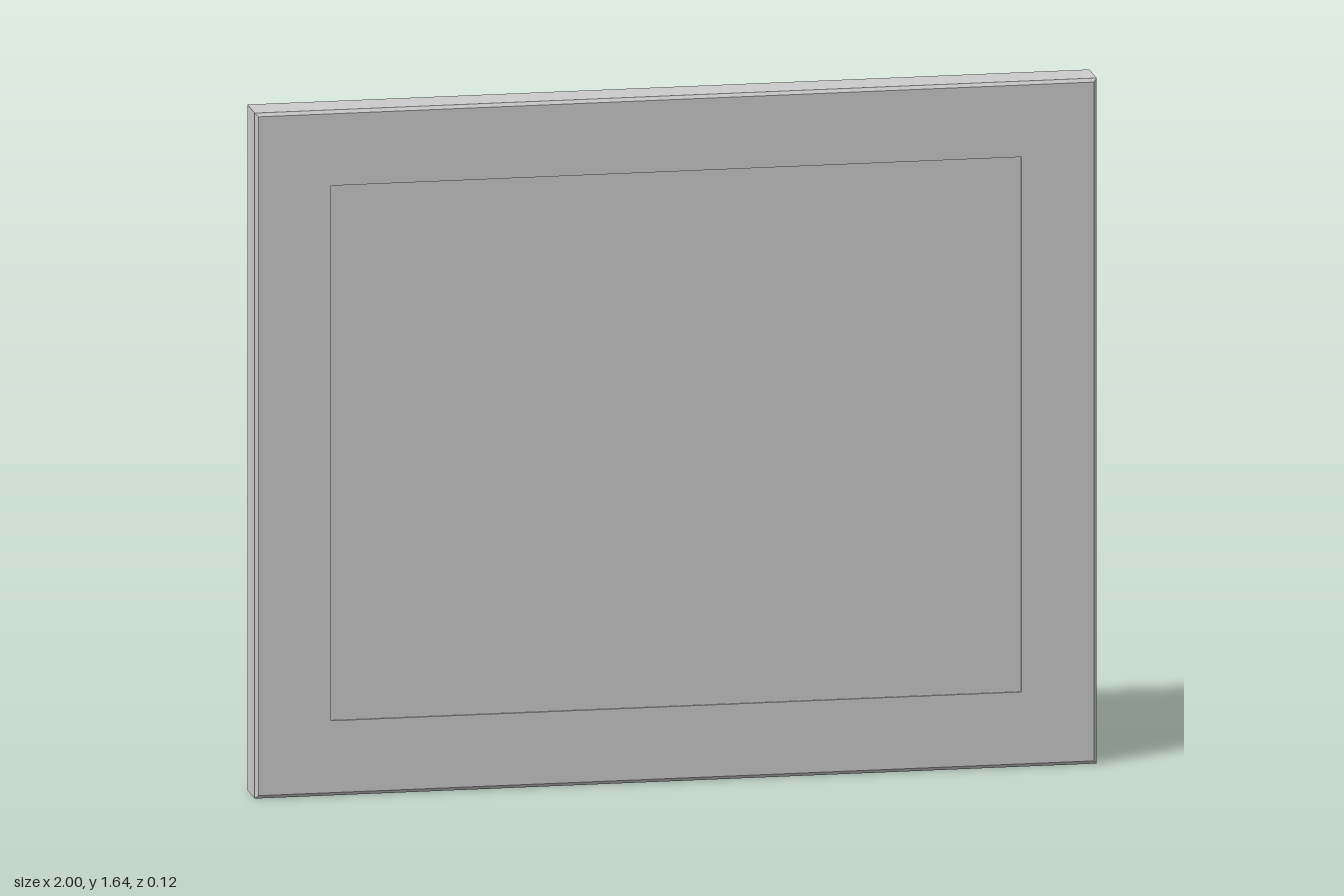
import * as THREE from 'three';

const HALF_W = 1, HEIGHT = 1.64, INSET = 0.18;

// Moulding section as [inset from outer edge, z]: flat side, inner wall, then the moulded side
const PROFILE = [
  [0.008, 0.0625], [INSET, 0.0625], [INSET, 0.01],
  [0.165, -0.004], [0.135, -0.022], [0.105, -0.022], [0.097, -0.012],
  [0.09, -0.018], [0.04, -0.06], [0.033, -0.0625], [0.025, -0.0625],
  [0.004, -0.042], [0, -0.036], [0, 0.056],
];

// Sweep the closed section around the rectangle with mitred corners
function mouldingGeometry() {
  const corners = [[-1, -1], [1, -1], [1, 1], [-1, 1]];
  const point = (corner, [inset, z]) => [
    corner[0] * (HALF_W - inset),
    HEIGHT / 2 + corner[1] * (HEIGHT / 2 - inset),
    z,
  ];
  const positions = [];
  for (let i = 0; i < 4; i++) {
    const start = corners[i], end = corners[(i + 1) % 4];
    for (let j = 0; j < PROFILE.length; j++) {
      const p = PROFILE[j], q = PROFILE[(j + 1) % PROFILE.length];
      const a = point(start, p), b = point(end, p);
      const c = point(end, q), d = point(start, q);
      positions.push(...a, ...b, ...c, ...a, ...c, ...d);
    }
  }
  const geometry = new THREE.BufferGeometry();
  geometry.setAttribute('position', new THREE.Float32BufferAttribute(positions, 3));
  geometry.computeVertexNormals();
  return geometry;
}

export function createModel() {
  const model = new THREE.Group();
  model.name = 'pictureFrame';
  const grey = new THREE.MeshStandardMaterial({ color: 0xcccccc });
  grey.name = 'light grey';

  const moulding = new THREE.Mesh(mouldingGeometry(), grey);
  moulding.name = 'moulding';
  model.add(moulding);

  // Panel filling the opening, almost flush with the flat side
  const panel = new THREE.Mesh(
    new THREE.BoxGeometry(2 * (HALF_W - INSET), HEIGHT - 2 * INSET, 0.045), grey);
  panel.name = 'panel';
  panel.position.set(0, HEIGHT / 2, 0.0355);
  model.add(panel);

  return model;
}
